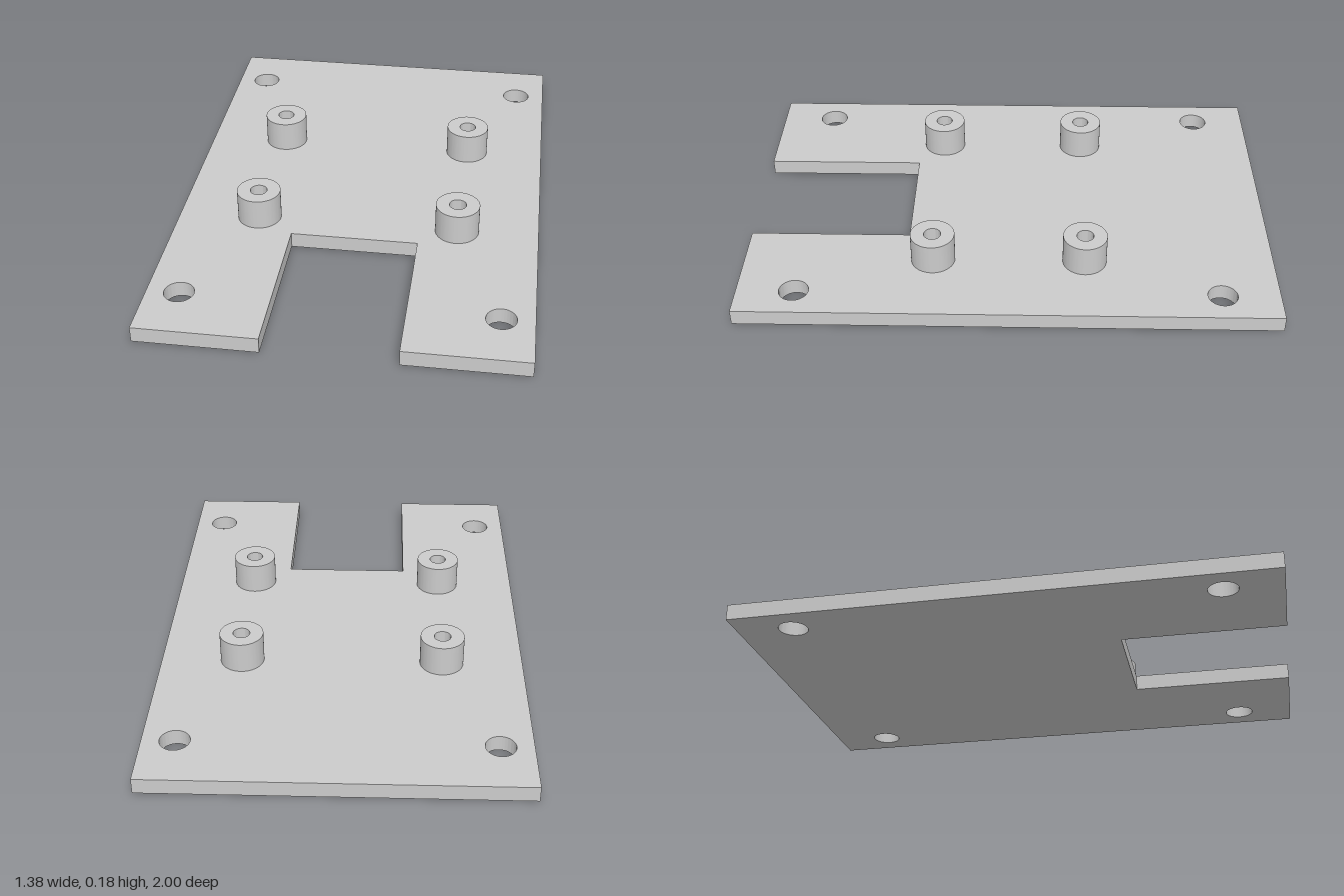
import * as THREE from 'three';
import { toCreasedNormals } from 'three/addons/utils/BufferGeometryUtils.js';

const PLATE_TOP = 0.06;
const POST_TOP = 0.18;

const material = new THREE.MeshStandardMaterial({ color: 0xcccccc });

// Round hole at (x, z)
function hole(x, z, radius) {
  return new THREE.Path().absarc(x, z, radius, 0, Math.PI * 2, true);
}

// Extrude a plan outline (shape x, y = model x, z) between two heights
function slab(shape, bottom, top) {
  const geometry = new THREE.ExtrudeGeometry(shape, {
    depth: top - bottom, bevelEnabled: false, curveSegments: 48,
  });
  geometry.rotateX(Math.PI / 2).translate(0, top, 0);
  return toCreasedNormals(geometry, 0.5);
}

// Call fn for the four mirrored positions
function atCorners(x, z, fn) {
  for (const sx of [-1, 1]) for (const sz of [-1, 1]) fn(sx * x, sz * z);
}

export function createModel() {
  const model = new THREE.Group();
  model.name = 'mountingPlate';

  // Base plate with a front notch and four corner screw holes
  const outline = new THREE.Shape([
    [-0.69, -1], [0.69, -1], [0.69, 1], [0.24, 1],
    [0.24, 0.387], [-0.24, 0.387], [-0.24, 1], [-0.69, 1],
  ].map(([x, z]) => new THREE.Vector2(x, z)));
  atCorners(0.571, 0.787, (x, z) => outline.holes.push(hole(x, z, 0.055)));
  const plate = new THREE.Mesh(slab(outline, 0, PLATE_TOP), material);
  plate.name = 'basePlate';
  model.add(plate);

  // Four standoffs with a blind pilot hole ending at the plate
  const ring = new THREE.Shape().absarc(0, 0, 0.083, 0, Math.PI * 2, false);
  ring.holes.push(hole(0, 0, 0.032));
  const standoffGeometry = slab(ring, PLATE_TOP, POST_TOP);
  atCorners(0.381, 0.286, (x, z) => {
    const standoff = new THREE.Mesh(standoffGeometry, material);
    standoff.name = `standoff${z > 0 ? 'Front' : 'Back'}${x > 0 ? 'Left' : 'Right'}`;
    standoff.position.set(x, 0, z);
    model.add(standoff);
  });

  return model;
}
